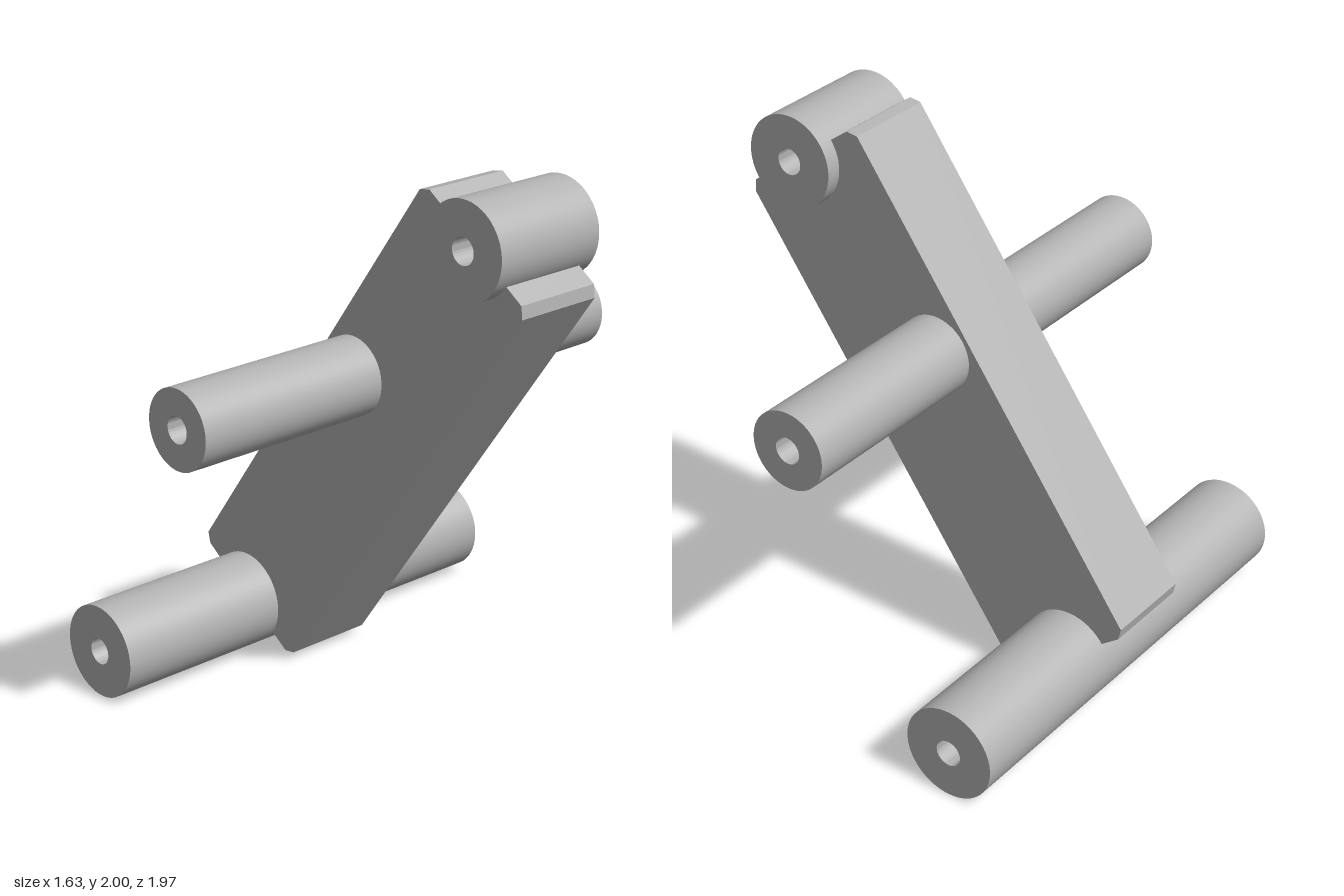
import * as THREE from 'three';
import { toCreasedNormals } from 'three/addons/utils/BufferGeometryUtils.js';

const HOLE = 0.05;

export function createModel() {
  const group = new THREE.Group();
  const steel = new THREE.MeshStandardMaterial({ color: 0xb3b3b3 });
  steel.name = 'grey steel';

  const add = (name, geometry) => {
    const mesh = new THREE.Mesh(toCreasedNormals(geometry, 0.5), steel);
    mesh.name = name;
    group.add(mesh);
    return mesh;
  };

  // Round pin along z; depth is that of the end holes, null bores right through
  const pin = (name, x, y, radius, half, depth) => {
    const outer = [[HOLE, -half], [radius, -half], [radius, half], [HOLE, half]];
    const profile = depth === null
      ? [...outer, [HOLE, -half]]
      : [[0, depth - half], [HOLE, depth - half], ...outer, [HOLE, half - depth], [0, half - depth]];
    const points = profile.map(([r, h]) => new THREE.Vector2(r, h));
    const geometry = new THREE.LatheGeometry(points, 64);
    geometry.rotateX(Math.PI / 2);
    add(name, geometry).position.set(x, y, 0);
  };

  // Slanted bar: chamfered corners, ends cut back around the bosses
  const outline = new THREE.Shape();
  const tilt = Math.atan2(-0.315, 0.435);
  const notch = 0.15;
  outline.moveTo(0.815, 1.62);
  outline.lineTo(0.81, 1.668);
  outline.absarc(0.597, 1.822, notch, tilt, tilt - Math.PI, true);
  outline.lineTo(0.38, 1.979);
  outline.lineTo(0.335, 1.972);
  outline.lineTo(-0.82, 0.38);
  outline.lineTo(-0.81, 0.336);
  outline.absarc(-0.597, 0.18, notch, tilt + Math.PI, tilt, true);
  outline.lineTo(-0.38, 0.024);
  outline.lineTo(-0.335, 0.03);
  outline.closePath();
  const bar = new THREE.ExtrudeGeometry(outline, { depth: 0.356, bevelEnabled: false, curveSegments: 24 });
  bar.translate(0, 0, -0.178);
  add('bar', bar);

  pin('upperBoss', 0.597, 1.822, 0.178, 0.237, null);
  pin('middlePin', 0, 1.226, 0.148, 0.983, 0.36);
  pin('lowerPin', -0.597, 0.18, 0.178, 0.893, 0.36);

  return group;
}
